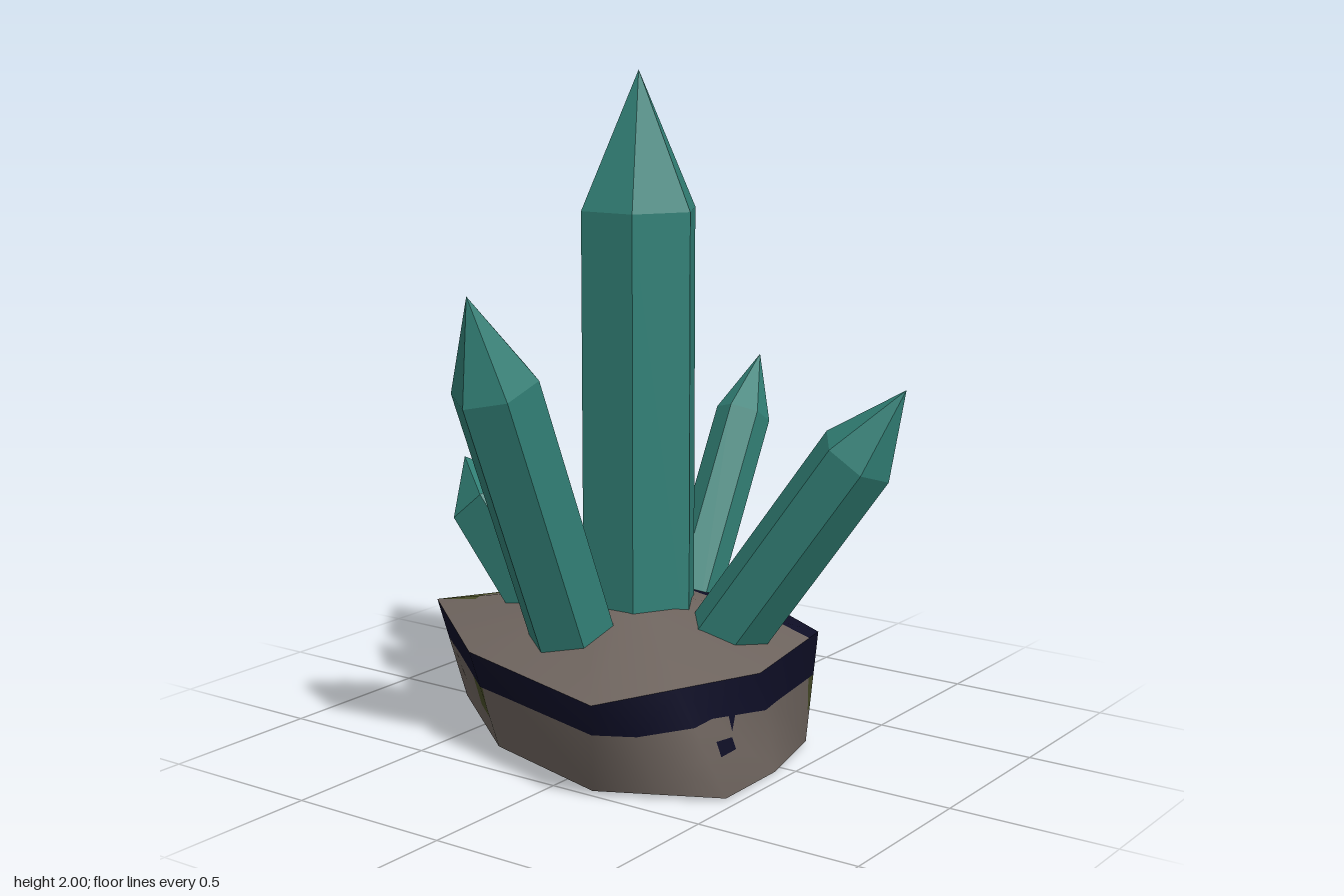
import * as THREE from 'three';

const material = (name, color, flatShading = false) => {
  const m = new THREE.MeshStandardMaterial({ color, flatShading });
  m.name = name;
  return m;
};

// Hexagonal crystal running from a buried base, through its shoulder, to the tip.
function crystal(name, base, shoulder, tip, radius, mat) {
  const b = new THREE.Vector3(...base);
  const end = new THREE.Vector3(...tip);
  const axis = end.clone().sub(b).normalize();
  b.addScaledVector(axis, -0.1);
  const length = end.distanceTo(b);
  const neck = new THREE.Vector3(...shoulder).sub(b).dot(axis);
  const profile = [[0, 0], [radius, 0], [radius, neck], [0, length]].map(p => new THREE.Vector2(...p));
  const mesh = new THREE.Mesh(new THREE.LatheGeometry(profile, 6).toNonIndexed(), mat);
  mesh.geometry.computeVertexNormals();
  // two corners of the hexagon lie in the plane of the lean
  const side = axis.clone().cross(new THREE.Vector3(0, 1, 0));
  if (side.length() < 1e-4) side.set(0, 0, 1);
  side.normalize();
  const face = side.clone().cross(axis);
  mesh.quaternion.setFromRotationMatrix(new THREE.Matrix4().makeBasis(side, axis, face));
  mesh.position.copy(b);
  mesh.name = name;
  return mesh;
}

// Smooth strip through rings (top to bottom), as triangles of [x, y, z, nx, ny, nz].
function stripTriangles(rings) {
  const n = rings[0].length;
  const index = [];
  for (let r = 0; r < rings.length - 1; r++) {
    for (let i = 0; i < n; i++) {
      const j = (i + 1) % n, u = r * n, l = u + n;
      index.push(u + i, u + j, l + i, u + j, l + j, l + i);
    }
  }
  const g = new THREE.BufferGeometry();
  g.setAttribute('position', new THREE.Float32BufferAttribute(rings.flat(2), 3));
  g.setIndex(index);
  g.computeVertexNormals();
  const p = g.attributes.position, nn = g.attributes.normal;
  const vertex = k => [p.getX(k), p.getY(k), p.getZ(k), nn.getX(k), nn.getY(k), nn.getZ(k)];
  const triangles = [];
  for (let k = 0; k < index.length; k += 3) triangles.push(index.slice(k, k + 3).map(vertex));
  return triangles;
}

// Keep the part of a polygon where sign * (coordinate - value) >= 0.
function clip(poly, axis, value, sign) {
  const out = [];
  poly.forEach((a, i) => {
    const b = poly[(i + 1) % poly.length];
    const da = sign * (a[axis] - value), db = sign * (b[axis] - value);
    if (da >= 0) out.push(a);
    if ((da > 0 && db < 0) || (da < 0 && db > 0)) {
      const t = da / (da - db);
      out.push(a.map((v, k) => v + (b[k] - v) * t));
    }
  });
  return out.length > 2 ? out : [];
}

// Cut polygons by painted boxes; each piece goes to the bin of its colour.
function paint(polys, patches, bins) {
  let rest = polys;
  for (const { color, min, max } of patches) {
    const next = [];
    for (let poly of rest) {
      for (let axis = 0; axis < 3 && poly.length; axis++) {
        for (const [value, sign] of [[min[axis], 1], [max[axis], -1]]) {
          const outside = clip(poly, axis, value, -sign);
          if (outside.length) next.push(outside);
          poly = clip(poly, axis, value, sign);
        }
      }
      if (poly.length) bins[color].push(poly);
    }
    rest = next;
  }
  bins.stone.push(...rest);
}

function polygonGeometry(polys) {
  const pos = [], nor = [];
  for (const poly of polys) {
    for (let i = 1; i < poly.length - 1; i++) {
      for (const v of [poly[0], poly[i], poly[i + 1]]) {
        pos.push(...v.slice(0, 3));
        nor.push(...v.slice(3));
      }
    }
  }
  const g = new THREE.BufferGeometry();
  g.setAttribute('position', new THREE.Float32BufferAttribute(pos, 3));
  g.setAttribute('normal', new THREE.Float32BufferAttribute(nor, 3));
  return g;
}

function createRock(mats) {
  const rim = [
    [0.47, 0.33, 0.15], [0.345, 0.32, 0.38], [0.22, 0.31, 0.61], [-0.35, 0.32, 0.45], [-0.78, 0.33, 0.1],
    [-0.66, 0.33, -0.1], [-0.45, 0.33, -0.33], [-0.28, 0.335, -0.42], [0.02, 0.34, -0.5], [0.4, 0.335, -0.28],
  ];
  const foot = [
    [0.46, 0.005, 0.05], [0.47, 0.01, 0.32], [0.14, 0.015, 0.5], [-0.3, 0.02, 0.38], [-0.68, 0.025, 0.08],
    [-0.73, 0.03, -0.09], [-0.42, 0.025, -0.33], [-0.32, 0.025, -0.41], [0.16, 0.03, -0.49], [0.41, 0.015, -0.2],
  ];
  const crown = rim.map(([x, , z]) => [-0.06 + (x + 0.06) * 0.3, 0.43, z * 0.3]);
  const peak = rim.map(() => [-0.06, 0.44, 0]);
  const underside = rim.map(() => [0, 0, 0]);

  const box = (color, x0, x1, y0, y1, z0, z1) => ({ color, min: [x0, y0, z0], max: [x1, y1, z1] });
  const bins = { stone: [], navy: [], olive: [] };
  // top: dark rear half with two mossy squares
  paint(stripTriangles([peak, crown, rim]), [
    box('olive', -0.42, -0.32, 0, 1, -0.21, -0.11),
    box('olive', -1, -0.62, 0, 1, -0.11, 0.1),
    box('navy', -1, 1, 0, 1, -1, -0.21),
    box('navy', -1, -0.42, 0, 1, -0.21, -0.11),
  ], bins);
  // sides: dark band under the rim, mossy squares and a drip below it
  paint(stripTriangles([rim, foot]), [
    box('navy', -1, 1, 0.21, 1, -1, 1),
    box('olive', -0.42, -0.32, 0.11, 0.21, -1, 1),
    box('olive', 0.3, 1, 0.11, 0.21, -0.34, -0.21),
    box('navy', 0.41, 1, 0.11, 0.21, 0.2, 0.28),
  ], bins);
  paint(stripTriangles([foot, underside]), [], bins);

  const rock = new THREE.Group();
  rock.name = 'rockBase';
  const names = { stone: 'rockBody', navy: 'darkBand', olive: 'mossPatches' };
  for (const key of Object.keys(bins)) {
    const mesh = new THREE.Mesh(polygonGeometry(bins[key]), mats[key]);
    mesh.name = names[key];
    rock.add(mesh);
  }
  return rock;
}

export function createModel() {
  const mats = {
    stone: material('stone', 0x6e645e),
    navy: material('darkNavy', 0x0e0e26),
    olive: material('moss', 0x484c28),
  };
  const teal = material('tealCrystal', 0x328076, true);
  const model = new THREE.Group();
  model.name = 'crystalCluster';
  model.add(
    createRock(mats),
    crystal('mainCrystal', [-0.06, 0.36, 0], [-0.06, 1.6, 0], [-0.06, 2, 0], 0.182, teal),
    crystal('leftCrystal', [0.24, 0.36, -0.02], [0.635, 0.935, -0.085], [0.775, 1.135, -0.11], 0.115, teal),
    crystal('rightCrystal', [-0.41, 0.4, 0.01], [-0.625, 0.66, 0.015], [-0.727, 0.785, 0.017], 0.137, teal),
    crystal('frontCrystal', [-0.1, 0.38, 0.28], [-0.13, 1.15, 0.57], [-0.145, 1.41, 0.675], 0.13, teal),
    crystal('backCrystal', [-0.065, 0.38, -0.29], [-0.075, 0.9, -0.59], [-0.08, 1.08, -0.69], 0.086, teal),
  );
  return model;
}
